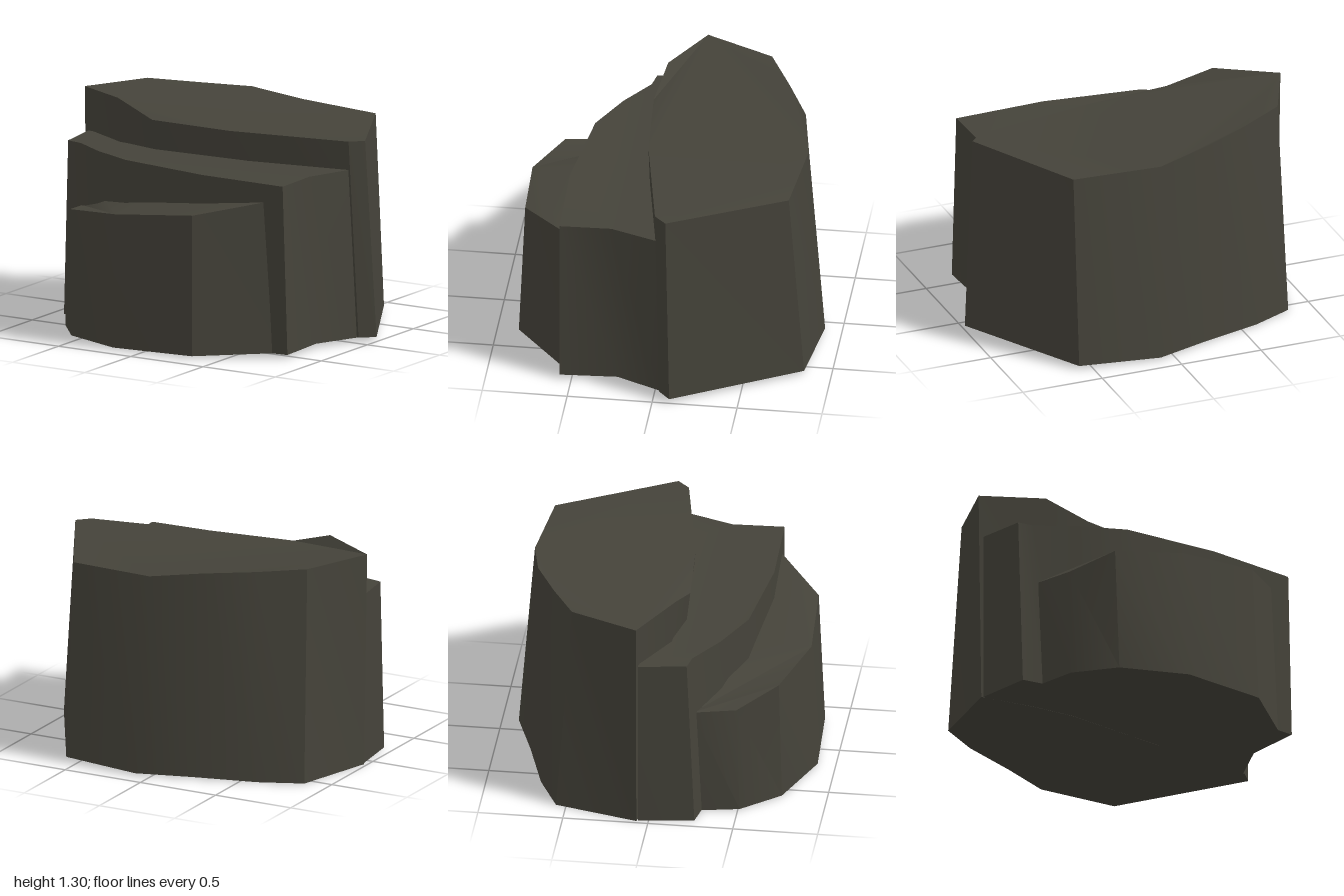
import * as THREE from 'three';
import { toCreasedNormals } from 'three/addons/utils/BufferGeometryUtils.js';

// Slightly tilted underside shared by all tiers
const groundY = (x) => Math.max(0, 0.013 + 0.015 * x);

// Rock tier: rows of [topX, topZ, topY, bottomX, bottomZ], clockwise from above
function tierGeometry(rows) {
  const top = rows.map(([x, z, y]) => [x, y, z]);
  const base = rows.map(([, , , x, z]) => [x, groundY(x), z]);
  const pos = [];
  const tri = (a, b, c) => pos.push(...a, ...b, ...c);

  // Side walls
  rows.forEach((_, i) => {
    const j = (i + 1) % rows.length;
    tri(base[i], top[i], top[j]);
    tri(base[i], top[j], base[j]);
  });

  // Caps, each triangle turned to face up or down
  const cap = (ring, up) => {
    const outline = ring.map((p) => new THREE.Vector2(p[0], p[2]));
    for (const f of THREE.ShapeUtils.triangulateShape(outline, [])) {
      const [a, b, c] = f.map((k) => ring[k]);
      const ny = (b[2] - a[2]) * (c[0] - a[0]) - (b[0] - a[0]) * (c[2] - a[2]);
      if (ny > 0 === up) tri(a, b, c);
      else tri(a, c, b);
    }
  };
  cap(top, true);
  cap(base, false);

  const g = new THREE.BufferGeometry();
  g.setAttribute('position', new THREE.Float32BufferAttribute(pos, 3));
  g.computeVertexNormals();
  return toCreasedNormals(g, 0.5);
}

export function createModel() {
  const group = new THREE.Group();
  group.name = 'steppedRock';
  const stone = new THREE.MeshStandardMaterial({ color: 0x45433a });
  stone.name = 'darkStone';

  const tiers = {
    // Tall back tier with an overhanging front lip
    backTier: [
      [-1.0, -0.07, 1.29, -0.98, -0.07],
      [-0.82, -0.47, 1.285, -0.85, -0.56],
      [-0.55, -0.61, 1.265, -0.6, -0.68],
      [-0.27, -0.74, 1.25, -0.23, -0.79],
      [0.05, -0.8, 1.2, 0.09, -0.9],
      [0.58, -0.75, 1.19, 0.58, -0.84],
      [0.94, -0.07, 1.2, 1.0, -0.1],
      [0.87, 0.0, 1.2, 0.92, -0.03],
      [0.13, 0.135, 1.2, 0.13, 0.0],
      [-0.38, 0.17, 1.21, -0.38, 0.03],
      [-0.65, 0.12, 1.3, -0.65, 0.0],
    ],
    // Middle step
    middleTier: [
      [-0.97, -0.06, 1.03, -0.97, -0.06],
      [-0.4, -0.15, 1.04, -0.4, -0.15],
      [0.4, -0.15, 1.03, 0.4, -0.15],
      [0.87, -0.01, 1.03, 0.91, -0.03],
      [0.77, 0.27, 1.03, 0.79, 0.23],
      [0.78, 0.575, 1.03, 0.81, 0.57],
      [0.23, 0.585, 1.035, 0.23, 0.585],
      [-0.35, 0.51, 1.04, -0.35, 0.51],
      [-0.62, 0.38, 1.035, -0.62, 0.4],
      [-0.83, 0.24, 1.03, -0.81, 0.29],
      [-0.93, 0.22, 1.03, -0.93, 0.265],
    ],
    // Low front step with a sloping top
    frontTier: [
      [-0.82, 0.24, 0.66, -0.81, 0.27],
      [-0.62, 0.33, 0.74, -0.6, 0.33],
      [-0.2, 0.45, 0.81, -0.2, 0.45],
      [0.3, 0.5, 0.87, 0.3, 0.5],
      [0.65, 0.58, 0.92, 0.71, 0.57],
      [0.32, 0.835, 0.85, 0.34, 0.87],
      [-0.2, 0.86, 0.8, -0.19, 0.895],
      [-0.6, 0.72, 0.755, -0.58, 0.735],
      [-0.76, 0.49, 0.66, -0.765, 0.51],
    ],
  };

  for (const [name, rows] of Object.entries(tiers)) {
    const mesh = new THREE.Mesh(tierGeometry(rows), stone);
    mesh.name = name;
    group.add(mesh);
  }
  return group;
}
